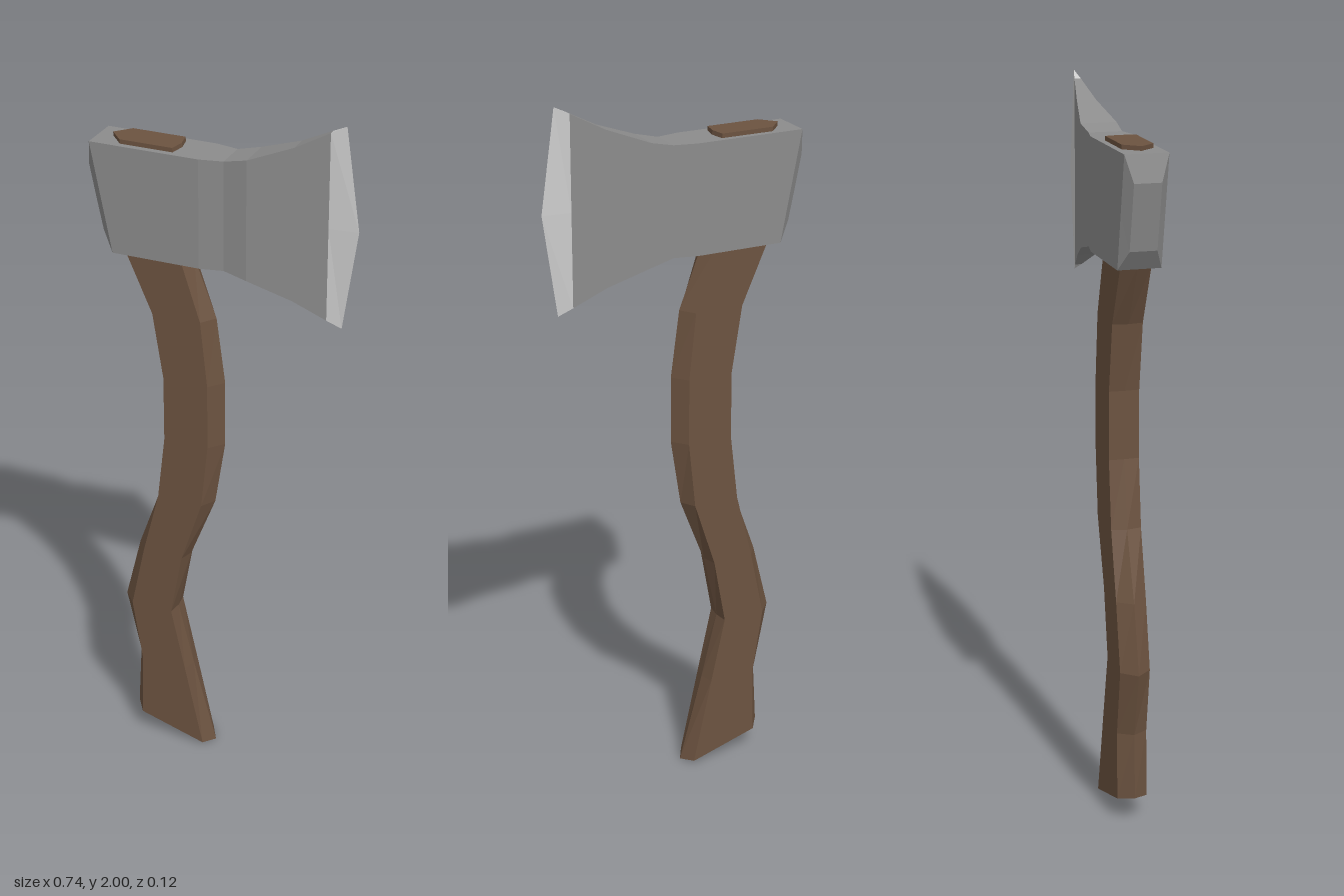
import * as THREE from 'three';

// Skin a list of equal-sized rings; rings run counter-clockwise seen from the far end.
function loft(rings, capStart, capEnd) {
  const pos = [];
  const tri = (a, b, c) => {
    const ab = new THREE.Vector3().subVectors(b, a);
    const ac = new THREE.Vector3().subVectors(c, a);
    if (ab.cross(ac).length() < 1e-8) return; // skip collapsed faces
    for (const p of [a, b, c]) pos.push(p.x, p.y, p.z);
  };
  const n = rings[0].length;
  for (let i = 0; i < rings.length - 1; i++) {
    for (let j = 0; j < n; j++) {
      const k = (j + 1) % n;
      const a = rings[i][j], b = rings[i][k], c = rings[i + 1][k], d = rings[i + 1][j];
      tri(a, b, c);
      tri(a, c, d);
    }
  }
  const first = rings[0], last = rings[rings.length - 1];
  for (let j = 1; j < n - 1; j++) {
    if (capStart) tri(first[0], first[j + 1], first[j]);
    if (capEnd) tri(last[0], last[j], last[j + 1]);
  }
  const geo = new THREE.BufferGeometry();
  geo.setAttribute('position', new THREE.Float32BufferAttribute(pos, 3));
  geo.computeVertexNormals();
  return geo;
}

function part(name, geo, color) {
  const mesh = new THREE.Mesh(geo, new THREE.MeshStandardMaterial({ color, flatShading: true }));
  mesh.name = name;
  return mesh;
}

// Six-sided handle section; the height runs from yBack to yFront across its width
function handleRing([yBack, yFront, back, cheekBack, cheekFront, front]) {
  const z = 0.042;
  const at = (x, z) =>
    new THREE.Vector3(x, yBack + (yFront - yBack) * (x - back) / (front - back), z);
  return [at(back, 0), at(cheekBack, z), at(cheekFront, z),
    at(front, 0), at(cheekFront, -z), at(cheekBack, -z)];
}

// Head section: top, middle and bottom points [x, y] mirrored at half thickness z
function headRing(top, mid, bottom, z) {
  const at = ([x, y], s) => new THREE.Vector3(x, y, s * z);
  return [at(top, -1), at(top, 1), at(mid, 1), at(bottom, 1), at(bottom, -1), at(mid, -1)];
}
const upright = (x, top, bottom, z) =>
  headRing([x, top], [x, (top + bottom) / 2], [x, bottom], z);

export function createModel() {
  const group = new THREE.Group();
  group.name = 'axe';

  // Curved wooden handle, passing through the head and showing on top
  const handle = [
    [0.075, 0, -0.28, -0.25, -0.055, -0.03],
    [0.26, 0.26, -0.27, -0.245, -0.11, -0.1],
    [0.45, 0.45, -0.312, -0.275, -0.152, -0.147],
    [0.64, 0.64, -0.265, -0.235, -0.117, -0.105],
    [0.83, 0.83, -0.197, -0.187, -0.055, -0.03],
    [1.02, 1.02, -0.167, -0.165, -0.035, 0],
    [1.21, 1.21, -0.167, -0.165, -0.035, 0],
    [1.4, 1.4, -0.202, -0.195, -0.055, -0.025],
    [1.57, 1.57, -0.285, -0.27, -0.11, -0.09],
    [1.885, 1.885, -0.318, -0.28, -0.13, -0.122],
  ].map(handleRing);
  group.add(part('handle', loft(handle, true, true), 0x6c5340));

  // Steel head: bevelled poll, straight eye, pinched neck, flaring blade
  const bladeEnd = upright(0.29, 1.98, 1.46, 0.009);
  const head = [
    headRing([-0.372, 1.8], [-0.354, 1.71], [-0.335, 1.62], 0.037),
    headRing([-0.36, 1.873], [-0.33, 1.72], [-0.3, 1.567], 0.059),
    upright(-0.05, 1.873, 1.567, 0.059),
    upright(0.015, 1.873, 1.567, 0.046),
    upright(0.08, 1.888, 1.552, 0.05),
    upright(0.2, 1.933, 1.507, 0.027),
    bladeEnd,
  ];
  group.add(part('head', loft(head, true, false), 0x8c8c8c));

  // Ground cutting edge, drawn to a shallow point at mid height
  const edge = headRing([0.33, 2], [0.37, 1.72], [0.33, 1.44], 0);
  group.add(part('cuttingEdge', loft([bladeEnd, edge], false, false), 0xcccccc));

  return group;
}
